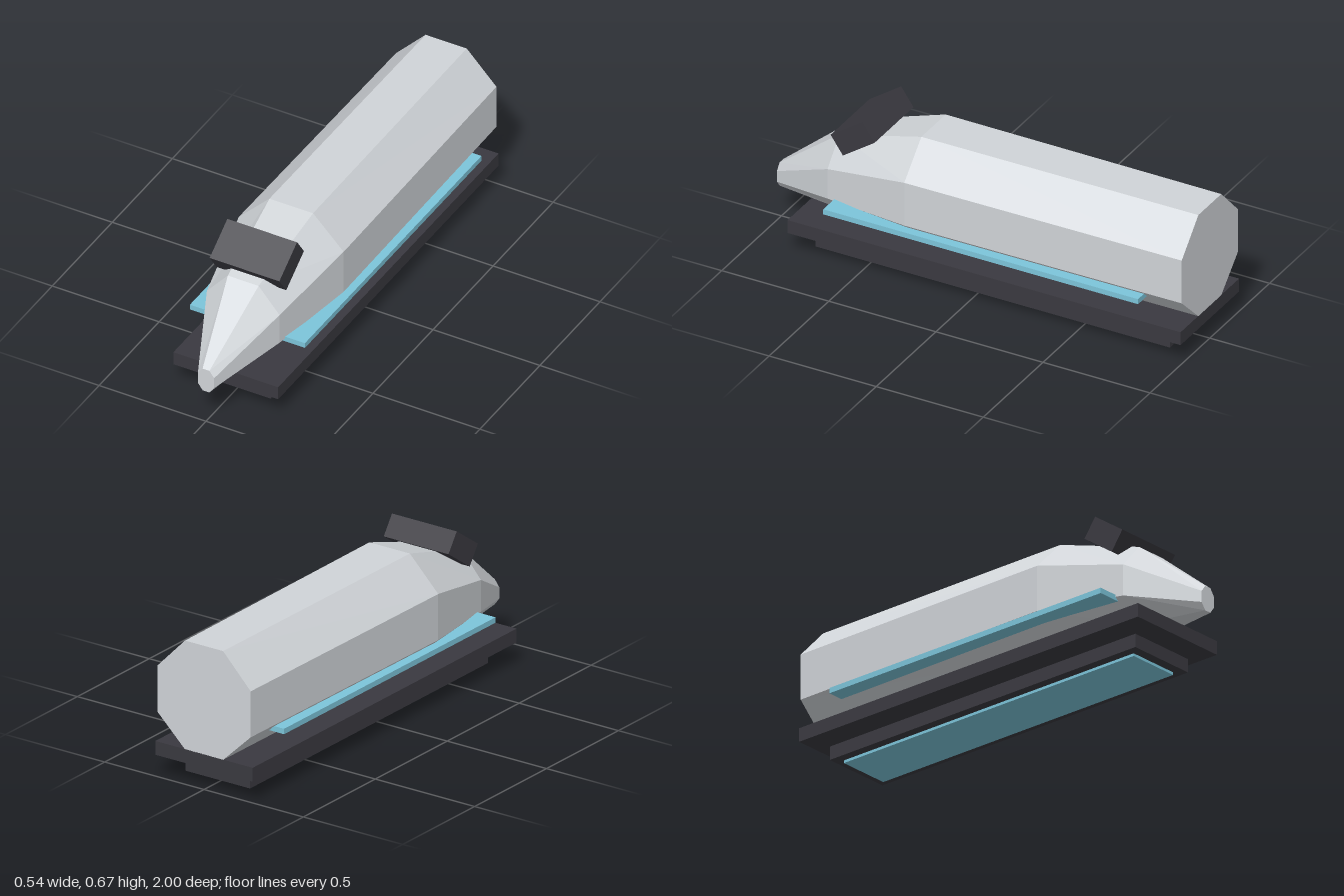
import * as THREE from 'three';

const mat = (name, color) => {
  const m = new THREE.MeshStandardMaterial({ color });
  m.name = name;
  return m;
};

// Faceted hull lofted through eight-sided cross-sections, back to front
function hullGeometry(sections) {
  const rings = sections.map(([z, side, flat, bottom, low, high, top]) => [
    [side, low, z], [side, high, z], [flat, top, z], [-flat, top, z],
    [-side, high, z], [-side, low, z], [-flat, bottom, z], [flat, bottom, z],
  ]);
  const pos = [];
  const tri = (a, b, c) => pos.push(...a, ...b, ...c);
  for (let s = 0; s < rings.length - 1; s++) {
    const back = rings[s], front = rings[s + 1];
    for (let i = 0; i < 8; i++) {
      const j = (i + 1) % 8;
      tri(back[i], back[j], front[j]);
      tri(back[i], front[j], front[i]);
    }
  }
  // End caps
  const first = rings[0], last = rings[rings.length - 1];
  for (let i = 1; i < 7; i++) {
    tri(last[0], last[i], last[i + 1]);
    tri(first[0], first[i + 1], first[i]);
  }
  const g = new THREE.BufferGeometry();
  g.setAttribute('position', new THREE.Float32BufferAttribute(pos, 3));
  g.computeVertexNormals();
  return g;
}

export function createModel() {
  const group = new THREE.Group();
  group.name = 'train';
  const silver = mat('silver', 0xd0d4d8);
  const dark = mat('charcoal', 0x3a3940);
  const blue = mat('light blue', 0x7cc5da);

  const add = (name, geometry, material) => {
    const mesh = new THREE.Mesh(geometry, material);
    mesh.name = name;
    group.add(mesh);
    return mesh;
  };
  // Box given by its extents
  const slab = (name, material, x0, x1, y0, y1, z0, z1) =>
    add(name, new THREE.BoxGeometry(x1 - x0, y1 - y0, z1 - z0), material)
      .position.set((x0 + x1) / 2, (y0 + y1) / 2, (z0 + z1) / 2);

  // Body and tapered nose: z, side, flat half-width, bottom, low, high, top
  add('body', hullGeometry([
    [-1, 0.235, 0.096, 0.154, 0.287, 0.49, 0.634],
    [0.29, 0.245, 0.102, 0.154, 0.287, 0.49, 0.634],
    [0.69, 0.17, 0.072, 0.163, 0.26, 0.4, 0.513],
    [1, 0.038, 0.016, 0.152, 0.182, 0.232, 0.262],
  ]), silver);

  // Tilted windscreen block
  const windscreen = add('windscreen', new THREE.BoxGeometry(0.326, 0.1, 0.18), dark);
  windscreen.position.set(0, 0.573, 0.577);
  windscreen.rotation.x = 0.61;

  // Side strips
  slab('leftStrip', blue, 0.147, 0.269, 0.247, 0.271, -0.815, 0.655);
  slab('rightStrip', blue, -0.269, -0.147, 0.247, 0.271, -0.815, 0.655);

  // Undercarriage
  slab('skirt', dark, -0.245, 0.245, 0.094, 0.155, -1, 0.835);
  slab('levitationRail', dark, -0.163, 0.163, 0.012, 0.072, -0.905, 0.75);
  slab('underglow', blue, -0.122, 0.122, 0, 0.012, -0.865, 0.705);

  return group;
}
